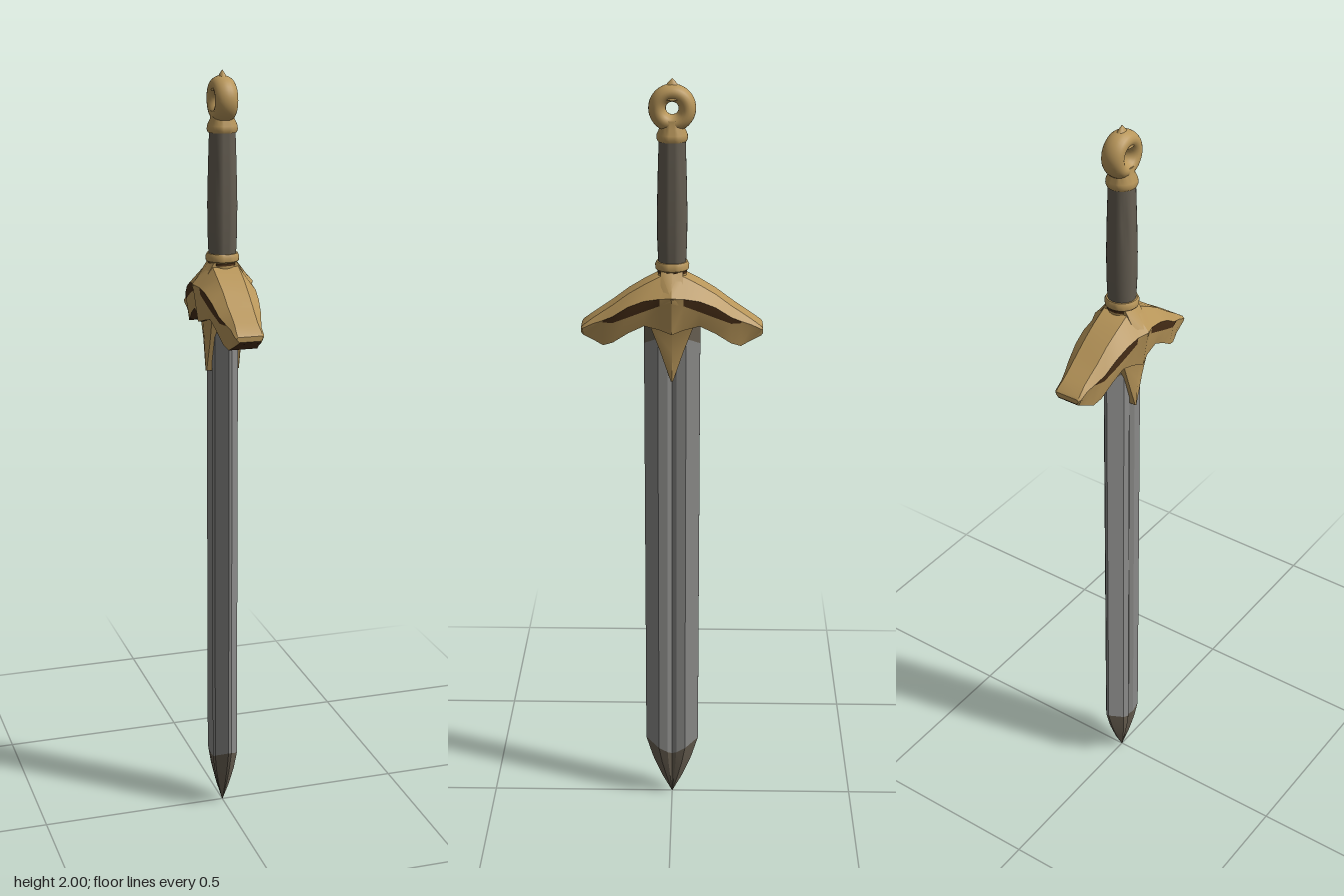
import * as THREE from 'three';
import { toCreasedNormals } from 'three/addons/utils/BufferGeometryUtils.js';

const makeMaterial = (name, color) => {
  const m = new THREE.MeshStandardMaterial({ color });
  m.name = name;
  return m;
};

// Skins a list of rings (arrays of [x, y, z]) and caps both ends.
// matOf(ringIndex, sideIndex) picks a material group for each face.
function loft(rings, crease = 0.5, matOf = () => 0) {
  const faces = [[], []];
  const n = rings[0].length;
  let volume = 0;
  const add = (g, a, b, c) => {
    const [A, B, C] = [a, b, c].map((p) => new THREE.Vector3(...p));
    volume += A.clone().sub(origin).dot(B.clone().sub(origin).cross(C.clone().sub(origin)));
    faces[g].push([a, b, c]);
  };
  const mean = (ring) => [0, 1, 2].map((k) => ring.reduce((s, p) => s + p[k], 0) / n);
  const origin = new THREE.Vector3(...mean(rings[0]));
  for (let i = 0; i < rings.length - 1; i++) {
    for (let j = 0; j < n; j++) {
      const k = (j + 1) % n, g = matOf(i, j);
      add(g, rings[i][j], rings[i][k], rings[i + 1][k]);
      add(g, rings[i][j], rings[i + 1][k], rings[i + 1][j]);
    }
  }
  const first = rings[0], last = rings[rings.length - 1];
  for (let j = 0; j < n; j++) {
    const k = (j + 1) % n;
    add(0, mean(first), first[k], first[j]);
    add(0, mean(last), last[j], last[k]);
  }
  const geo = new THREE.BufferGeometry();
  const pos = [];
  faces.forEach((list, g) => {
    const start = pos.length / 3;
    for (const [a, b, c] of list) pos.push(...a, ...(volume < 0 ? [...c, ...b] : [...b, ...c]));
    if (list.length) geo.addGroup(start, list.length * 3, g);
  });
  geo.setAttribute('position', new THREE.Float32BufferAttribute(pos, 3));
  return toCreasedNormals(geo, crease);
}

export function createModel() {
  const model = new THREE.Group();
  model.name = 'sword';
  const gold = makeMaterial('gold', 0xb8965a);
  const steel = makeMaterial('steel', 0x8b8b89);
  const darkSteel = makeMaterial('darkSteel', 0x6a6153);
  const leather = makeMaterial('leather', 0x655e52);
  const brown = makeMaterial('brown', 0x4a3018);

  const part = (name, geo, mat, parent = model) => {
    const mesh = new THREE.Mesh(geo, mat);
    mesh.name = name;
    parent.add(mesh);
    return mesh;
  };
  const turned = (name, points, mat, sides = 32) =>
    part(name, toCreasedNormals(new THREE.LatheGeometry(points.map((p) => new THREE.Vector2(...p)), sides), 0.7), mat);

  // Blade outline: shallow central groove, flats and bevelled edges
  const quarter = [[0.024, 0], [0.031, 0.012], [0.031, 0.036], [0.004, 0.072]];
  const outline = [
    ...quarter,
    ...quarter.slice(1).reverse().map(([x, z]) => [-x, z]),
    [-0.024, 0],
    ...quarter.slice(1).map(([x, z]) => [-x, -z]),
    ...quarter.slice(1).reverse().map(([x, z]) => [x, -z]),
  ];
  // Ring whose height changes by `rise` from the middle to the edges
  const bladeRing = (y, rise = 0, sx = 1, sz = 1) =>
    outline.map(([x, z]) => [x * sx, y + (rise * Math.abs(z)) / 0.072, z * sz]);
  part('blade', loft([bladeRing(0.135, 0.04), bladeRing(1.37, -0.04)], 0.3), steel);
  part('bladeTip', loft([
    bladeRing(0, 0, 0.02, 0.01),
    bladeRing(0.05, 0.004, 0.46, 0.4),
    bladeRing(0.095, 0.02, 0.8, 0.75),
    bladeRing(0.135, 0.04),
  ], 0.3), darkSteel);
  part('bladeShoulder', loft([bladeRing(1.37, -0.04), bladeRing(1.42)], 0.3), darkSteel);

  // Crossguard wings: [z, half width, top y, bottom y, slot start, slot end, top width ratio]
  const half = [
    [0, 0.081, 1.52, 1.37, 0.34, 0.4, 0.43],
    [0.03, 0.07, 1.513, 1.38, 0.36, 0.5, 0.48],
    [0.07, 0.067, 1.492, 1.39, 0.33, 0.6, 0.5],
    [0.11, 0.062, 1.468, 1.37, 0.27, 0.55, 0.52],
    [0.15, 0.055, 1.438, 1.343, 0.25, 0.43, 0.58],
    [0.175, 0.047, 1.421, 1.334, 0.22, 0.28, 0.65],
    [0.2, 0.04, 1.404, 1.347, 0.22, 0.4, 0.75],
    [0.226, 0.038, 1.385, 1.36, 0.25, 0.5, 0.85],
    [0.231, 0.034, 1.379, 1.366, 0.3, 0.6, 0.9],
  ];
  const stations = [...half.slice(1).reverse().map(([z, ...r]) => [-z, ...r]), ...half];
  const wingRings = stations.map(([z, w, top, bottom, f1, f2, t]) => {
    const h = top - bottom;
    const side = [[w * t, top], [w, top - h * f1], [w * 0.96, top - h * f2], [w * 0.8, bottom]];
    return [...side, ...side.slice().reverse().map(([x, y]) => [-x, y])].map(([x, y]) => [x, y, z]);
  });
  // Brown slots on the flanks and brown undersides
  part('crossguard', loft(wingRings, 0.5, (i, j) => {
    const z = Math.abs(stations[i][0] + stations[i + 1][0]) / 2;
    if (j === 3) return 1;
    return (j === 1 || j === 5) && z > 0.03 && z < 0.176 ? 1 : 0;
  }), [gold, brown]);

  // Pointed prongs running down both faces of the blade: [y, ridge x, edge x, half z]
  part('guardProngs', loft([
    [1.24, 0.045, 0.043, 0.003],
    [1.32, 0.048, 0.042, 0.03],
    [1.39, 0.054, 0.044, 0.056],
    [1.425, 0.066, 0.056, 0.045],
    [1.465, 0.081, 0.066, 0.028],
    [1.525, 0.036, 0.03, 0.028],
  ].map(([y, r, e, z]) => [[r, y, 0], [e, y, z], [-e, y, z], [-r, y, 0], [-e, y, -z], [e, y, -z]]), 0.6), gold);

  // Collar, grip and upper ferrule
  turned('guardCollar', [[0, 1.505], [0.036, 1.505], [0.036, 1.523], [0.042, 1.527], [0.043, 1.538], [0.039, 1.546], [0, 1.546]], gold);
  turned('collarGroove', [[0, 1.517], [0.0375, 1.517], [0.0375, 1.523], [0, 1.523]], brown);
  turned('grip', [[0, 1.54], [0.035, 1.54], [0.0375, 1.6], [0.038, 1.67], [0.036, 1.76], [0.033, 1.855], [0, 1.855]], leather);
  turned('pommelFerrule', [[0, 1.848], [0.036, 1.848], [0.039, 1.855], [0.038, 1.865], [0.031, 1.88], [0.029, 1.9], [0, 1.9]], gold);

  // Ring pommel with a pointed finial
  const pommel = new THREE.Group();
  pommel.name = 'pommel';
  model.add(pommel);
  const ring = new THREE.TorusGeometry(0.037, 0.0215, 20, 40);
  ring.rotateY(Math.PI / 2);
  ring.scale(1.35, 1, 1);
  part('pommelRing', ring, gold, pommel).position.y = 1.928;
  const finial = new THREE.LatheGeometry(
    [[0.041, 0], [0.036, 0.012], [0.02, 0.028], [0.008, 0.042], [0, 0.05]].map((p) => new THREE.Vector2(...p)), 24);
  finial.scale(0.66, 1, 1);
  part('pommelFinial', finial, gold, pommel).position.y = 1.95;

  return model;
}
